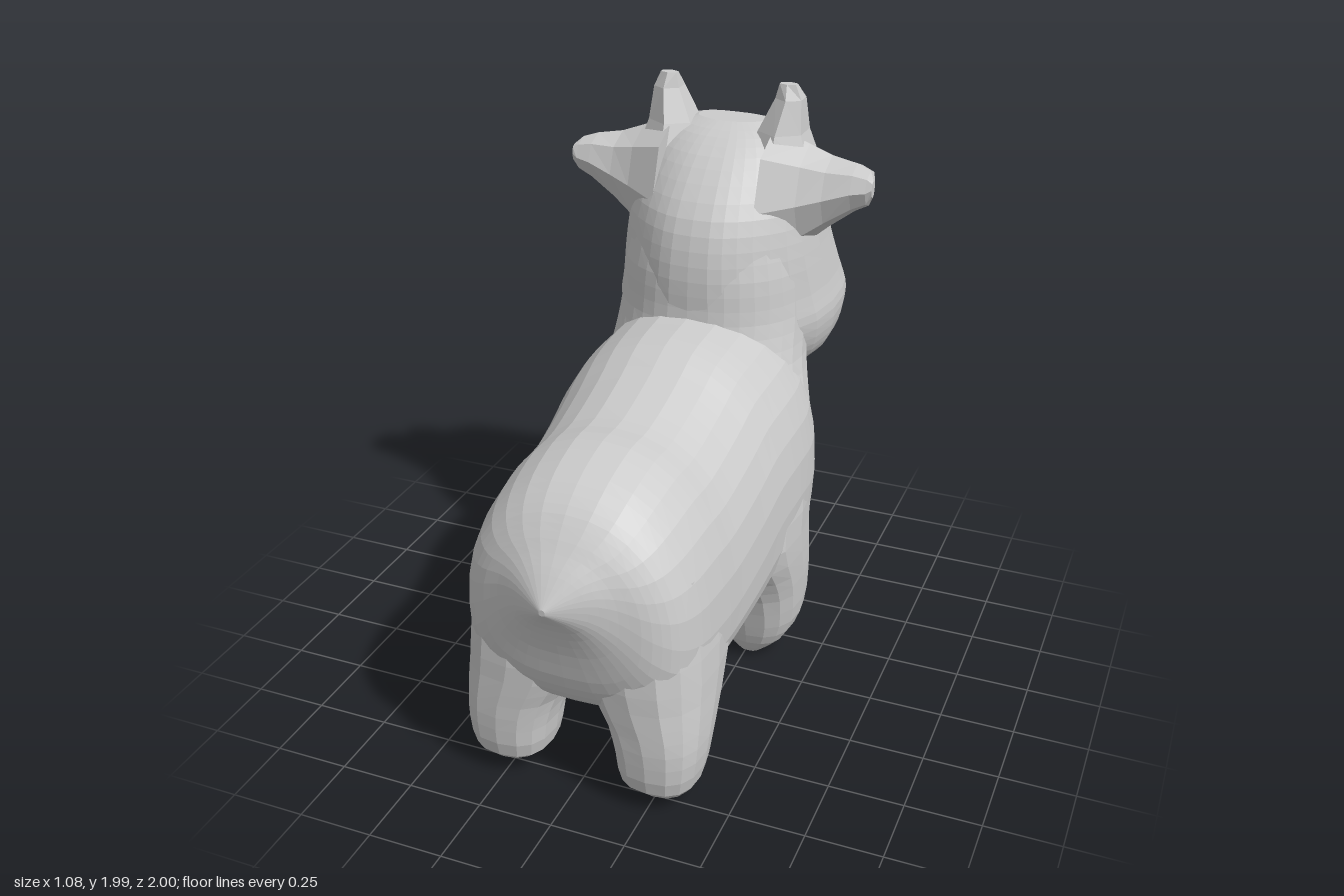
import * as THREE from 'three';

const material = new THREE.MeshStandardMaterial({ color: 0xcccccc, flatShading: true });

// Catmull-Rom blend of whole cross-sections
function blend(sections, i, f) {
  const at = k => sections[Math.min(Math.max(k, 0), sections.length - 1)];
  const [p, q, r, s] = [at(i - 1), at(i), at(i + 1), at(i + 2)];
  return q.map((_, k) => {
    const v0 = (r[k] - p[k]) / 2, v1 = (s[k] - q[k]) / 2;
    return (2 * q[k] - 2 * r[k] + v0 + v1) * f ** 3 + (3 * r[k] - 3 * q[k] - 2 * v0 - v1) * f * f + v0 * f + q[k];
  });
}

// Closed skin over rounded sections [t, aMin, aMax, bMin, bMax, bWidest?] along an axis.
// a and b are the next axes in x, y, z order; power above 2 squares the outline,
// taper narrows b towards aMax.
function loft(axis, sections, { sides = 32, steps = 3, power = 2, lowPower = power, taper = 0 } = {}) {
  const rings = [];
  for (let i = 0; i < sections.length - 1; i++) {
    for (let s = 0; s < steps; s++) rings.push(blend(sections, i, s / steps));
  }
  rings.push(sections[sections.length - 1]);

  const pos = [], index = [];
  const put = (t, a, b) => {
    const p = [0, 0, 0];
    p[axis] = t; p[(axis + 1) % 3] = a; p[(axis + 2) % 3] = b;
    pos.push(...p);
  };
  for (const [t, a0, a1, b0, b1, widest = (b0 + b1) / 2] of rings) {
    for (let j = 0; j < sides; j++) {
      const w = (j / sides) * Math.PI * 2, c = Math.cos(w), s = Math.sin(w);
      const e = 2 / (s < 0 ? lowPower : power);
      const u = Math.sign(c) * Math.abs(c) ** e;
      const v = Math.sign(s) * Math.abs(s) ** e * (1 - taper * Math.max(u, 0) ** 2);
      put(t, (a0 + a1) / 2 + u * (a1 - a0) / 2, widest + v * (s < 0 ? widest - b0 : b1 - widest));
    }
  }
  const first = rings[0], last = rings[rings.length - 1], n = rings.length * sides;
  for (const r of [first, last]) put(r[0], (r[1] + r[2]) / 2, (r[3] + r[4]) / 2);
  for (let j = 0; j < sides; j++) {
    const k = (j + 1) % sides;
    for (let i = 0; i < rings.length - 1; i++) {
      const p = i * sides + j, q = i * sides + k;
      index.push(p, q, p + sides, q, q + sides, p + sides);
    }
    index.push(n, k, j, n + 1, n - sides + j, n - sides + k);
  }
  const geo = new THREE.BufferGeometry();
  geo.setAttribute('position', new THREE.Float32BufferAttribute(pos, 3));
  geo.setIndex(index);
  geo.computeVertexNormals();
  return geo;
}

function mirrored(source) {
  const geo = source.clone().scale(-1, 1, 1);
  geo.setIndex(Array.from(source.index.array).reverse());
  geo.computeVertexNormals();
  return geo;
}

// Sections symmetric about x = 0, from rows of y, front, back, half width
const symmetric = rows => rows.map(([y, front, back, w]) => [y, front, back, -w, w]);

export function createModel() {
  const model = new THREE.Group();
  const add = (name, geo) => {
    const mesh = new THREE.Mesh(geo, material);
    mesh.name = name;
    model.add(mesh);
  };
  const addPair = (name, geo) => {
    add('left' + name, geo);
    add('right' + name, mirrored(geo));
  };

  // Trunk from chest to pointed tail: z, half width, bottom, top, height of widest point
  const trunk = [
    [-0.5, 0.13, 0.88, 1.05, 0.96], [-0.47, 0.26, 0.76, 1.14, 0.92], [-0.43, 0.34, 0.6, 1.2, 0.84],
    [-0.35, 0.405, 0.45, 1.25, 0.75], [-0.25, 0.435, 0.37, 1.27, 0.7], [-0.1, 0.44, 0.32, 1.265, 0.7],
    [0.05, 0.43, 0.3, 1.25, 0.68], [0.2, 0.42, 0.285, 1.195, 0.63], [0.4, 0.41, 0.285, 1.145, 0.59],
    [0.55, 0.405, 0.29, 1.145, 0.59], [0.7, 0.39, 0.31, 1.11, 0.6], [0.8, 0.355, 0.35, 1.055, 0.63],
    [0.86, 0.29, 0.44, 0.995, 0.68], [0.9, 0.2, 0.59, 0.945, 0.75], [0.94, 0.12, 0.7, 0.895, 0.79],
    [1, 0.01, 0.79, 0.81, 0.8],
  ].map(([z, w, bottom, top, mid]) => [z, -w, w, bottom, top, mid]);
  add('body', loft(2, trunk, { power: 2.2, lowPower: 2.8 }));

  // Neck flaring into the shoulders and fading into the nape
  add('neck', loft(1, symmetric([
    [0.8, -0.46, -0.06, 0.42], [0.95, -0.51, -0.07, 0.385], [1.1, -0.6, -0.11, 0.345],
    [1.25, -0.7, -0.145, 0.33], [1.4, -0.7, -0.16, 0.315], [1.55, -0.65, -0.2, 0.28],
  ]), { power: 2.6, taper: 0.22 }));

  // Muzzle and skull in one piece, narrower towards the nape
  add('head', loft(1, symmetric([
    [1.0, -0.78, -0.35, 0.27], [1.03, -0.87, -0.3, 0.335], [1.1, -0.95, -0.22, 0.375],
    [1.2, -1.0, -0.16, 0.39], [1.3, -0.965, -0.15, 0.37], [1.45, -0.885, -0.155, 0.345],
    [1.6, -0.83, -0.2, 0.32], [1.74, -0.775, -0.315, 0.275], [1.82, -0.7, -0.42, 0.21],
    [1.855, -0.62, -0.5, 0.12],
  ]), { power: 2.9, taper: 0.42 }));

  // Legs, spreading into the trunk: y, front z, back z, inner x, outer x
  addPair('FrontLeg', loft(1, [
    [0.01, -0.19, -0.11, 0.22, 0.3], [0.08, -0.29, -0.06, 0.16, 0.38], [0.17, -0.36, -0.03, 0.12, 0.425],
    [0.3, -0.365, 0.01, 0.09, 0.44], [0.4, -0.365, 0.07, 0.05, 0.445], [0.55, -0.385, 0.18, 0, 0.445],
    [0.72, -0.43, 0.15, 0, 0.435], [0.92, -0.42, 0.05, 0.05, 0.385],
  ], { sides: 16, steps: 2, power: 2.5 }));
  addPair('HindLeg', loft(1, [
    [0.03, 0.58, 0.77, 0.2, 0.34], [0.09, 0.56, 0.84, 0.13, 0.385], [0.2, 0.54, 0.858, 0.11, 0.405],
    [0.3, 0.48, 0.862, 0.08, 0.41], [0.4, 0.4, 0.864, 0.02, 0.41], [0.55, 0.33, 0.864, -0.02, 0.405],
    [0.82, 0.4, 0.83, 0, 0.37],
  ], { sides: 16, steps: 2, power: 2.5 }));

  // Ears flare from the skull to blunt tips: x, bottom, top, front, back
  addPair('Ear', loft(0, [
    [0.18, 1.37, 1.86, -0.7, -0.28], [0.3, 1.46, 1.81, -0.65, -0.35],
    [0.38, 1.53, 1.78, -0.62, -0.38], [0.47, 1.6, 1.765, -0.58, -0.4],
    [0.52, 1.63, 1.75, -0.54, -0.41], [0.54, 1.67, 1.73, -0.46, -0.42],
  ], { sides: 8, steps: 1 }));

  // Short horns: y, front, back, inner x, outer x
  addPair('Horn', loft(1, [
    [1.72, -0.68, -0.38, 0.06, 0.33], [1.84, -0.63, -0.43, 0.11, 0.285],
    [1.95, -0.59, -0.475, 0.165, 0.27], [2.0, -0.54, -0.5, 0.18, 0.245],
  ], { sides: 6, steps: 1 }));

  return model;
}
